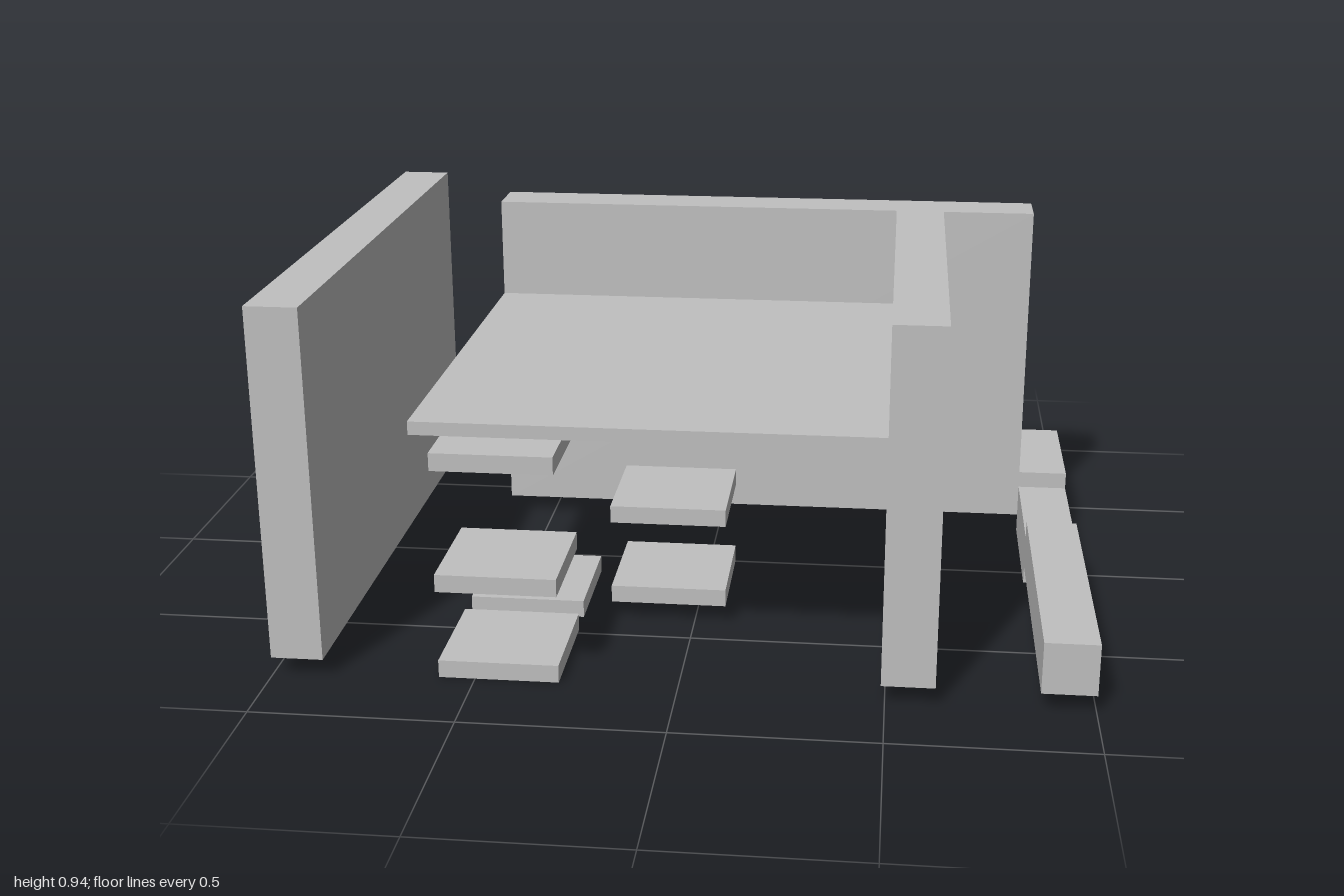
import * as THREE from 'three';

export function createModel() {
  const model = new THREE.Group();
  model.name = 'openCabinet';
  const grey = new THREE.MeshStandardMaterial({ color: 0xc0c0c0 });
  grey.name = 'plain grey';

  // Box given by its extents along each axis
  function slab(name, [x0, x1], [y0, y1], [z0, z1], parent = model) {
    const mesh = new THREE.Mesh(new THREE.BoxGeometry(x1 - x0, y1 - y0, z1 - z0), grey);
    mesh.position.set((x0 + x1) / 2, (y0 + y1) / 2, (z0 + z1) / 2);
    mesh.name = name;
    parent.add(mesh);
  }

  const wallY = [0.048, 0.943];
  const railY = [0.048, 0.18];

  // Tall walls
  slab('outerWall', [-1, -0.87], wallY, [-0.683, 0.81]);
  slab('backWall', [-0.627, 0.867], wallY, [-0.44, -0.31]);
  slab('innerWall', [0.49, 0.62], wallY, [-0.31, 0.81]);

  // Shelf between the walls
  slab('shelf', [-0.627, 0.49], [0.642, 0.675], [-0.31, 0.81]);

  // Low rails, with a dropped threshold in the side rail
  slab('backRail', [-1, 0.867], railY, [-0.813, -0.683]);
  slab('sideRailBack', [0.867, 1], railY, [-0.683, -0.31]);
  slab('threshold', [0.867, 1], [0, 0.135], [-0.31, 0.065]);
  slab('sideRailFront', [0.867, 1], railY, [0.065, 0.81]);

  // Floating square plates: left edge, underside, back edge
  const plates = new THREE.Group();
  plates.name = 'plates';
  model.add(plates);
  const size = 0.298, thick = 0.045;
  [
    [-0.59, 0, 0.48],
    [-0.59, 0.228, 0.48],
    [-0.59, 0.541, 0.48],
    [-0.59, 0, 0.105],
    [-0.217, 0.048, 0.105],
    [-0.217, 0.271, 0.105],
  ].forEach(([x, y, z], i) =>
    slab(`plate${i + 1}`, [x, x + size], [y, y + thick], [z, z + size], plates));

  return model;
}
